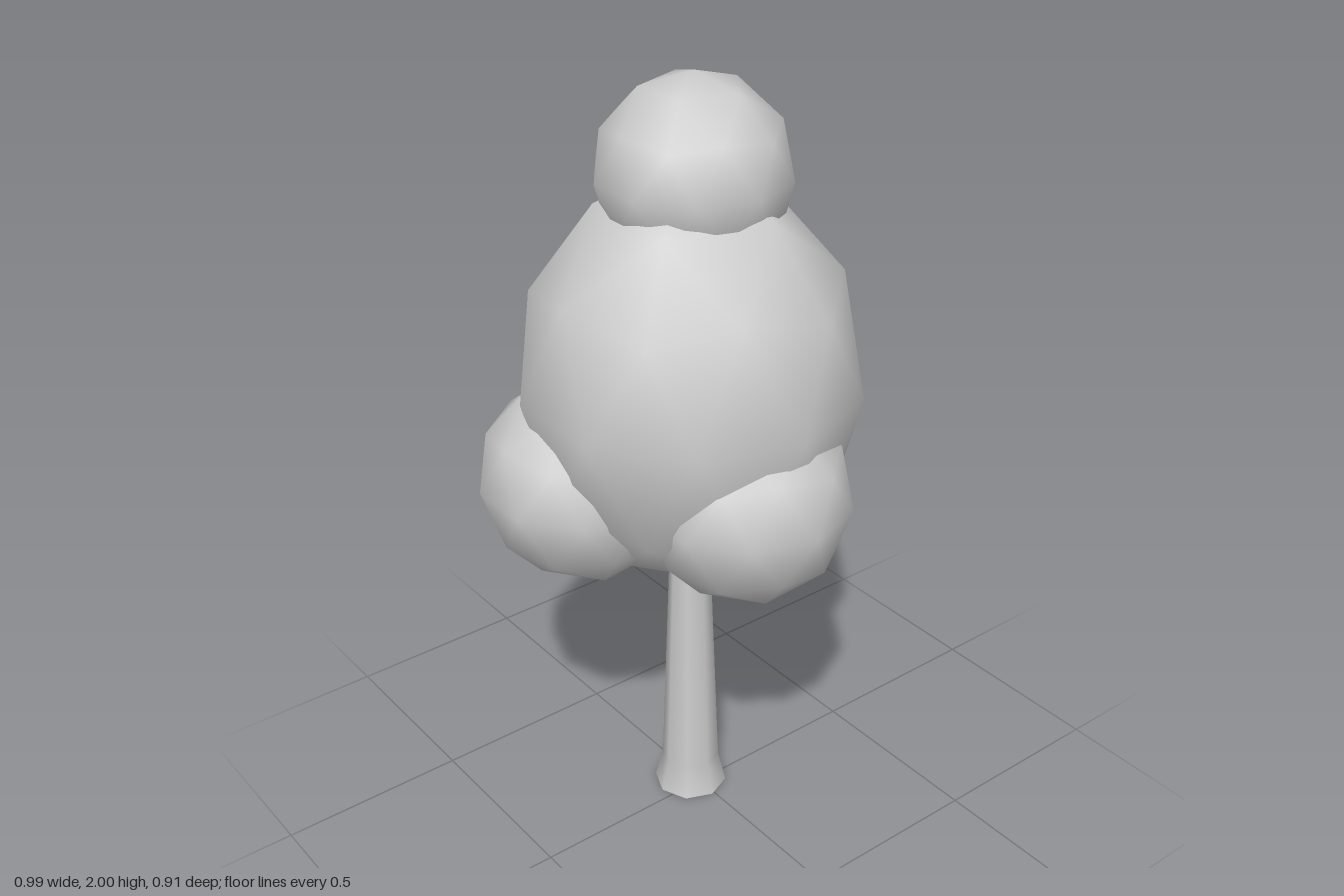
import * as THREE from 'three';

export function createModel() {
  const tree = new THREE.Group();
  tree.name = 'tree';
  const grey = new THREE.MeshStandardMaterial({ color: 0xcccccc });
  grey.name = 'plain grey';

  const add = (name, geometry, x, y, z) => {
    const mesh = new THREE.Mesh(geometry, grey);
    mesh.name = name;
    mesh.position.set(x, y, z);
    tree.add(mesh);
    return mesh;
  };

  // Leaf clump: a once-divided icosahedron turned so a corner points straight up
  const tilt = -Math.atan(2 / (1 + Math.sqrt(5)));
  const clump = (name, x, y, z, r, ry = r) =>
    add(name, new THREE.IcosahedronGeometry(1, 1).rotateZ(tilt).scale(r, ry, r), x, y, z);

  clump('mainFoliage', -0.007, 1.25, -0.028, 0.428, 0.53);
  clump('topFoliage', 0.02, 1.76, -0.05, 0.24);
  clump('frontFoliage', -0.01, 1.02, 0.19, 0.266);
  clump('backLeftFoliage', 0.235, 0.98, -0.143, 0.267);
  clump('backRightFoliage', -0.247, 1.01, -0.145, 0.267);

  // Trunk: eight sides, flared at the foot, its top hidden in the leaves
  const profile = [[0.098, 0], [0.077, 0.09], [0.054, 0.72], [0.05, 0.85]]
    .map(([r, y]) => new THREE.Vector2(r, y));
  add('trunk', new THREE.LatheGeometry(profile, 8), -0.008, 0, -0.032);
  add('trunkBase', new THREE.CircleGeometry(0.098, 8).rotateX(Math.PI / 2), -0.008, 0, -0.032);

  return tree;
}
